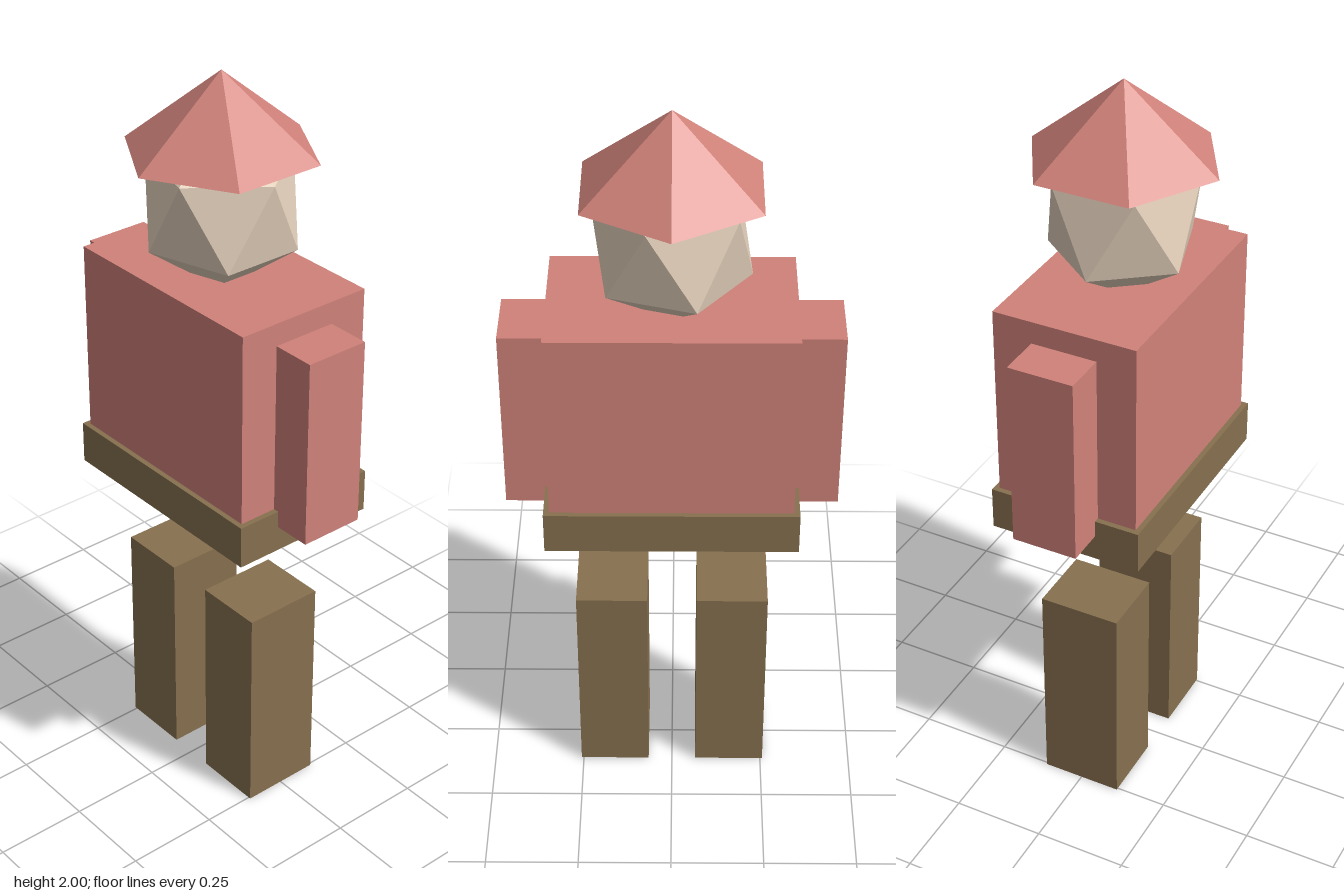
import * as THREE from 'three';

const material = (color) => new THREE.MeshStandardMaterial({ color, flatShading: true });

export function createModel() {
  const model = new THREE.Group();
  const cloth = material(0xd0827a);
  const leather = material(0x87704f);
  const skin = material(0xe6d2bd);

  function add(name, geometry, mat, x, y, z = 0) {
    const mesh = new THREE.Mesh(geometry, mat);
    mesh.name = name;
    mesh.position.set(x, y, z);
    model.add(mesh);
    return mesh;
  }

  // Box given by its width, bottom, top and depth
  function addBox(name, mat, x, width, bottom, top, depth) {
    return add(name, new THREE.BoxGeometry(width, top - bottom, depth), mat, x, (bottom + top) / 2);
  }

  addBox('torso', cloth, 0, 0.62, 0.96, 1.485, 0.385);
  addBox('hips', leather, 0, 0.65, 0.85, 0.965, 0.413);

  // Paired limbs
  for (const [side, s] of [['left', 1], ['right', -1]]) {
    addBox(side + 'Arm', cloth, s * 0.345, 0.165, 0.92, 1.425, 0.175);
    addBox(side + 'Leg', leather, s * 0.161, 0.19, 0, 0.595, 0.22);
  }

  // Head: upright icosahedron, two twisted rings of five between two poles
  const headHeight = 0.237;
  const positions = [];
  const ring = (y, turn) => Array.from({ length: 5 }, (_, i) => {
    const a = turn + (i * Math.PI * 2) / 5;
    return [0.196 * Math.cos(a), y, 0.187 * Math.sin(a)];
  });
  const upper = ring(0.447 * headHeight, 0);
  const lower = ring(-0.447 * headHeight, Math.PI / 5);
  for (let i = 0; i < 5; i++) {
    const j = (i + 1) % 5;
    positions.push(
      0, headHeight, 0, ...upper[j], ...upper[i],
      ...upper[i], ...upper[j], ...lower[i],
      ...lower[i], ...upper[j], ...lower[j],
      0, -headHeight, 0, ...lower[i], ...lower[j]
    );
  }
  const headGeometry = new THREE.BufferGeometry();
  headGeometry.setAttribute('position', new THREE.Float32BufferAttribute(positions, 3));
  headGeometry.computeVertexNormals();
  add('head', headGeometry, skin, 0, 1.664);

  // Six-sided pointed hat
  add('hat', new THREE.ConeGeometry(0.25, 0.205, 6), cloth, 0, 1.8975);

  return model;
}
